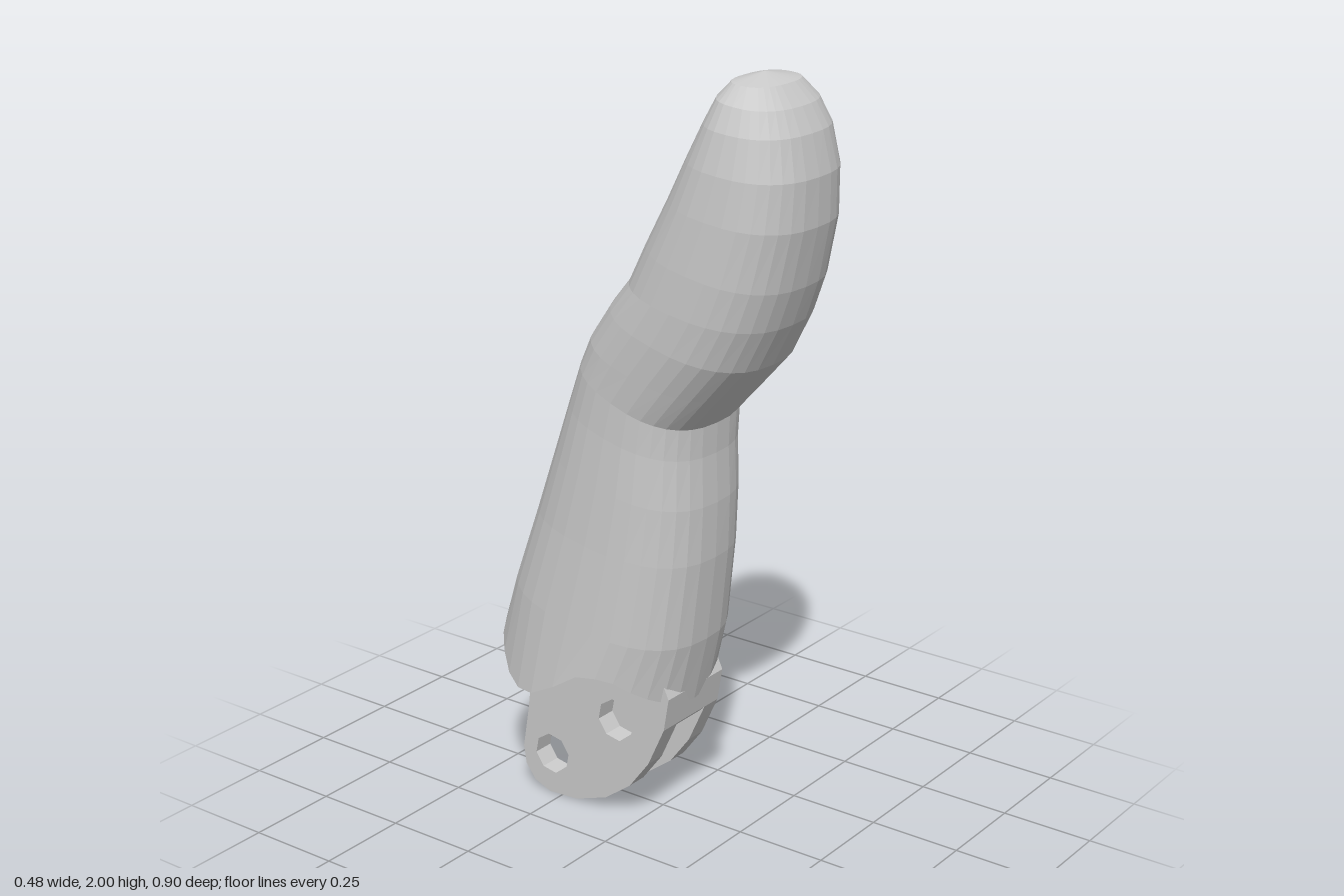
import * as THREE from 'three';

const SIDES = 32;
const material = new THREE.MeshStandardMaterial({ color: 0xcccccc, flatShading: true, roughness: 0.8 });

// Lower edge of the finger sleeve: [z, y], saddle-shaped over the hinge
const LOWER_EDGE = [[-0.45, 0.49], [-0.34, 0.36], [-0.28, 0.335], [-0.2, 0.365], [-0.12, 0.43],
  [-0.06, 0.44], [0, 0.43], [0.08, 0.37], [0.1, 0.34]];

function lowerEdge(z) {
  for (let i = 1; i < LOWER_EDGE.length; i++) {
    const [z0, y0] = LOWER_EDGE[i - 1], [z1, y1] = LOWER_EDGE[i];
    if (z <= z1) return y0 + (y1 - y0) * (z - z0) / (z1 - z0);
  }
  return LOWER_EDGE[LOWER_EDGE.length - 1][1];
}

// Cross-sections, bottom to top: front z, front y, back z, back y, half width
const SECTIONS = [
  [0.10, 0.34, -0.45, 0.49, 0.242],
  [0.14, 0.52, -0.405, 0.62, 0.231],
  [0.165, 0.75, -0.33, 0.83, 0.219],
  [0.17, 0.90, -0.27, 1.00, 0.213],
  [0.165, 1.03, -0.22, 1.14, 0.208],
  [0.168, 1.11, -0.18, 1.25, 0.207],
  [0.25, 1.20, -0.15, 1.32, 0.211],
  [0.33, 1.29, -0.088, 1.41, 0.216],
  [0.385, 1.40, -0.03, 1.48, 0.216],
  [0.42, 1.50, 0.02, 1.58, 0.213],
  [0.45, 1.65, 0.085, 1.70, 0.205],
  [0.452, 1.77, 0.135, 1.80, 0.193],
  [0.43, 1.87, 0.18, 1.89, 0.172],
  [0.40, 1.93, 0.21, 1.95, 0.145],
  [0.36, 1.978, 0.24, 1.985, 0.105],
];

function fingerGeometry() {
  const positions = [], index = [];
  const rounded = (v) => Math.sign(v) * Math.pow(Math.abs(v), 2 / 2.5);
  SECTIONS.forEach(([zf, yf, zb, yb, w], i) => {
    for (let j = 0; j < SIDES; j++) {
      const a = (j / SIDES) * Math.PI * 2;
      const t = (1 + rounded(Math.cos(a))) / 2;
      const z = zb + (zf - zb) * t;
      positions.push(w * rounded(Math.sin(a)), i === 0 ? lowerEdge(z) : yb + (yf - yb) * t, z);
    }
  });
  // Skin
  for (let i = 0; i < SECTIONS.length - 1; i++) {
    for (let j = 0; j < SIDES; j++) {
      const k = (j + 1) % SIDES;
      const a = i * SIDES + j, b = i * SIDES + k;
      index.push(a, b, b + SIDES, a, b + SIDES, a + SIDES);
    }
  }
  // Rounded tip
  const apex = positions.length / 3, last = (SECTIONS.length - 1) * SIDES;
  positions.push(0, 2, 0.295);
  for (let j = 0; j < SIDES; j++) index.push(last + j, last + (j + 1) % SIDES, apex);
  // Curved underside, ruled from side to side
  for (let j = 0; j < SIDES / 2; j++) {
    const a = j, b = j + 1, c = SIDES - j - 1, d = (SIDES - j) % SIDES;
    if (a !== d) index.push(a, d, b);
    if (b !== c) index.push(b, d, c);
  }
  const geometry = new THREE.BufferGeometry();
  geometry.setAttribute('position', new THREE.Float32BufferAttribute(positions, 3));
  geometry.setIndex(index);
  geometry.computeVertexNormals();
  return geometry;
}

// Extrudes a [z, y] profile across x, from x0 to x1
function sidePlate(name, points, x0, x1, holes = []) {
  const shape = new THREE.Shape(points.map(([z, y]) => new THREE.Vector2(z, y)));
  for (const [z, y, r] of holes) {
    const hole = [];
    for (let i = 0; i < 8; i++) {
      const a = -(i / 8) * Math.PI * 2 + 0.2;
      hole.push(new THREE.Vector2(z + r * Math.cos(a), y + r * Math.sin(a)));
    }
    shape.holes.push(new THREE.Path(hole));
  }
  const geometry = new THREE.ExtrudeGeometry(shape, { depth: x1 - x0, bevelEnabled: false });
  geometry.rotateY(-Math.PI / 2);
  geometry.translate(x1, 0, 0);
  const mesh = new THREE.Mesh(geometry, material);
  mesh.name = name;
  return mesh;
}

export function createModel() {
  const model = new THREE.Group();
  model.name = 'fingerSegment';

  const finger = new THREE.Mesh(fingerGeometry(), material);
  finger.name = 'finger';
  model.add(finger);

  // Two hinge lugs with pin holes
  const lug = [[0.06, 0.48], [-0.33, 0.48], [-0.345, 0.34], [-0.36, 0.22], [-0.378, 0.11], [-0.37, 0.06],
    [-0.34, 0.02], [-0.29, 0], [-0.2, 0.005], [-0.1, 0.04], [-0.02, 0.1], [0.04, 0.18], [0.09, 0.29], [0.105, 0.38]];
  const pinHoles = [[-0.065, 0.275, 0.058], [-0.28, 0.115, 0.056]];
  model.add(sidePlate('leftLug', lug, 0.06, 0.118, pinHoles));
  model.add(sidePlate('rightLug', lug, -0.118, -0.06, pinHoles));

  // Web closing the top of the slot between the lugs
  const web = [[0.06, 0.48], [-0.33, 0.48], [-0.34, 0.37], [-0.2, 0.37], [-0.06, 0.36],
    [0.02, 0.33], [0.075, 0.275], [0.09, 0.29], [0.105, 0.38]];
  model.add(sidePlate('slotWeb', web, -0.06, 0.06));
  return model;
}
